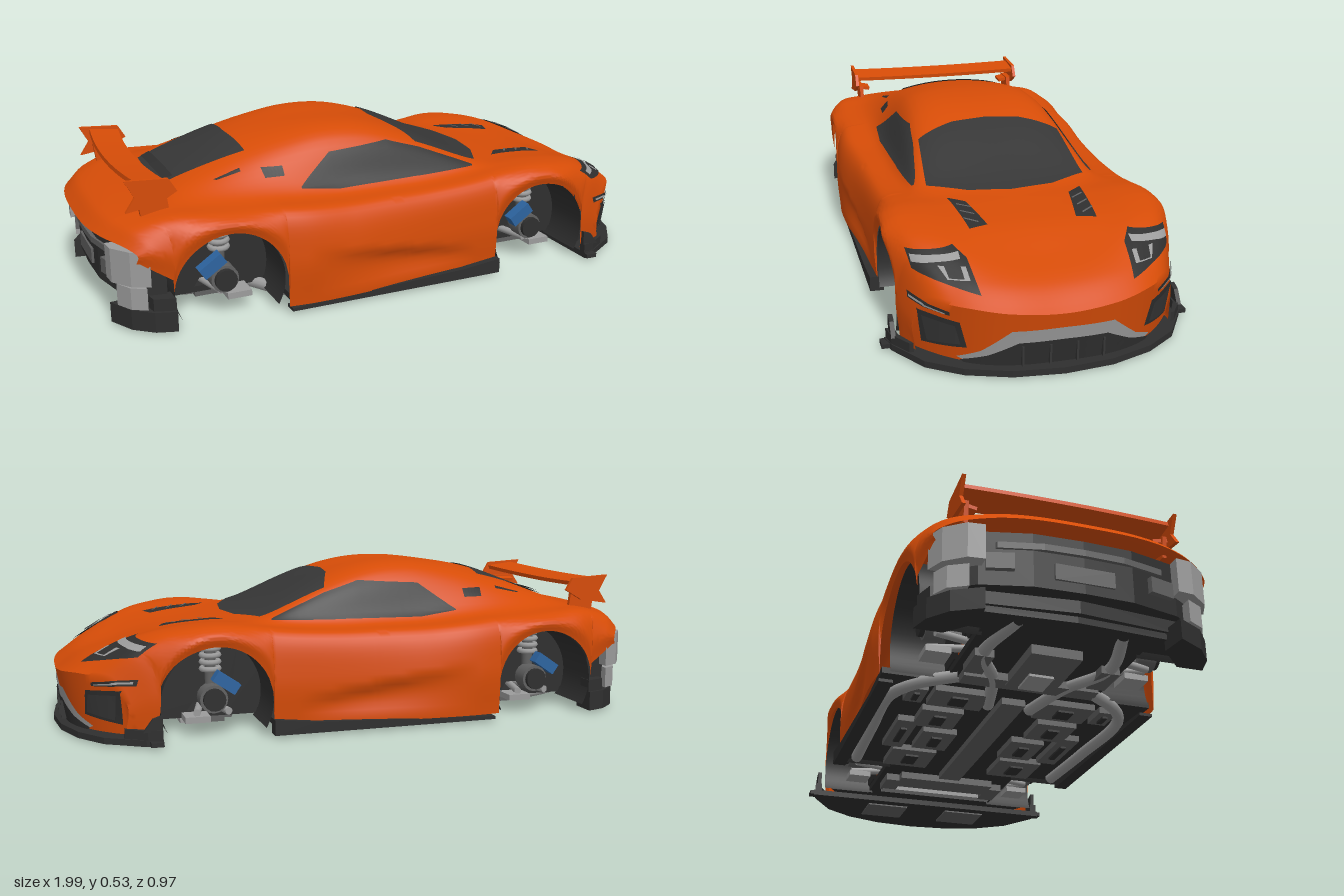
import * as THREE from 'three';
import { toCreasedNormals } from 'three/addons/utils/BufferGeometryUtils.js';

const mat = (name, color) => new THREE.MeshStandardMaterial({ name, color, side: THREE.DoubleSide });
const M = {
  paint: mat('orange paint', 0xd64c07), glass: mat('dark glass', 0x363636), trim: mat('black trim', 0x2f2f2f),
  grey: mat('light grey metal', 0x9c9c9c), mid: mat('mid grey metal', 0x606060), blue: mat('blue damper', 0x2d64a0),
};

// Body stations: x, half width, then shoulder z/y, deck edge z/y, roof edge z/y, centre y
const ROWS = [
  [-1, .42, .38, .28, .28, .288, .18, .29, .29],
  [-.95, .43, .39, .315, .29, .328, .19, .333, .335],
  [-.8, .45, .41, .35, .32, .362, .21, .365, .367],
  [-.65, .455, .42, .35, .33, .365, .21, .41, .425],
  [-.5, .46, .43, .338, .335, .362, .21, .45, .483],
  [-.35, .474, .44, .325, .335, .352, .215, .482, .512],
  [-.2, .47, .43, .315, .332, .342, .22, .502, .525],
  [-.05, .456, .42, .313, .33, .34, .23, .492, .515],
  [.1, .446, .415, .313, .33, .338, .245, .45, .475],
  [.3, .44, .41, .325, .325, .343, .27, .37, .39],
  [.4, .44, .405, .342, .33, .352, .24, .352, .357],
  [.5, .445, .41, .353, .33, .36, .22, .35, .345],
  [.65, .45, .41, .342, .33, .35, .2, .335, .325],
  [.78, .44, .4, .32, .32, .325, .18, .3, .285],
  [.9, .425, .385, .27, .29, .265, .16, .255, .245],
  [.98, .4, .36, .2, .28, .21, .15, .2, .19],
];
const ARCHES = [-.61, .515], R = .178, HUB = .12;
const clamp = THREE.MathUtils.clamp, lerp = THREE.MathUtils.lerp;

// Smooth interpolation between stations
function station(s) {
  let i = 0;
  while (i < ROWS.length - 2 && s > ROWS[i + 1][0]) i++;
  const a = ROWS[i], b = ROWS[i + 1], p = ROWS[i - 1] || a, n = ROWS[i + 2] || b;
  const h = b[0] - a[0], t = clamp((s - a[0]) / h, 0, 1);
  return a.map((v, c) => {
    const m0 = (b[c] - p[c]) / (b[0] - p[0]) * h, m1 = (n[c] - v) / (n[0] - a[0]) * h;
    return (2 * t ** 3 - 3 * t * t + 1) * v + (t ** 3 - 2 * t * t + t) * m0
      + (3 * t * t - 2 * t ** 3) * b[c] + (t ** 3 - t * t) * m1;
  });
}
// Nose and tail sweep back towards the corners
const sweep = (s, z) => (s > 0 ? -3 * clamp((s - .55) / .43, 0, 1) : 1.5 * clamp((-s - .7) / .3, 0, 1)) * Math.abs(z) ** 3;

// Lower edge of the shell, rising over the wheels and behind the rear ones
function lowerEdge(x) {
  for (const c of ARCHES) if (Math.abs(x - c) < R) return HUB + Math.sqrt(R * R - (x - c) ** 2);
  return x < ARCHES[0] ? lerp(.17, .235, clamp((-.78 - x) / .1, 0, 1)) : .03;
}
function section(s) {
  const [, w, zs, ys, zc, yc, zr, yr, yt] = station(s);
  const yb = Math.min(lowerEdge(s + sweep(s, w)), ys - .03);
  const half = [[w * .985, yb], [w, lerp(yb, ys, .55)], [zs, ys], [zc, yc], [zr, yr]];
  const pts = [...half, [0, yt], ...half.slice().reverse().map(([z, y]) => [-z, y])];
  const curve = new THREE.CatmullRomCurve3(pts.map(([z, y]) => new THREE.Vector3(0, y, z)));
  return curve.getPoints(80).map(p => {
    // scooped flank behind the door, deepest under its upper edge
    const u = clamp((s + .36) / .62, 0, 1), v = clamp((p.y - .05) / (.16 - .1 * u), 0, 1);
    const dent = Math.abs(p.z) > .38 ? .04 * Math.sin(Math.PI * u) * v * (1 - v ** 3) : 0;
    return new THREE.Vector3(s + sweep(s, p.z), p.y, p.z - Math.sign(p.z) * dent);
  });
}
// Surface through a grid of points
function skin(rows) {
  const n = rows[0].length, index = [];
  for (let i = 0; i < rows.length - 1; i++) for (let j = 0; j < n - 1; j++) {
    const a = i * n + j, b = a + n;
    index.push(a, b, a + 1, b, b + 1, a + 1);
  }
  const g = new THREE.BufferGeometry().setFromPoints(rows.flat());
  g.setIndex(index);
  g.computeVertexNormals();
  return g;
}
const prism = (pts, depth) => new THREE.ExtrudeGeometry(new THREE.Shape(pts.map(p => new THREE.Vector2(...p))), { depth, bevelEnabled: false });

export function createModel() {
  const car = new THREE.Group();
  car.name = 'sportsCar';
  const add = (name, geo, m, x = 0, y = 0, z = 0, rx = 0, ry = 0, rz = 0) => {
    const mesh = new THREE.Mesh(geo, m);
    mesh.name = name;
    mesh.position.set(x, y, z);
    mesh.rotation.set(rx, ry, rz);
    car.add(mesh);
    return mesh;
  };
  const box = (name, m, w, h, d, ...at) => add(name, new THREE.BoxGeometry(w, h, d), m, ...at);
  const rod = (name, m, r, len, ...at) => add(name, new THREE.CylinderGeometry(r, r, len, 16), m, ...at);
  const pipe = (name, m, r, pts) => add(name, new THREE.TubeGeometry(new THREE.CatmullRomCurve3(pts.map(p => new THREE.Vector3(...p))), 20, r, 10), m);
  // Plan outline (x, z) raised between two heights, and its version mirrored about the centre line
  const block = (name, m, pts, y0, y1) => add(name, prism(pts.map(([x, z]) => [x, -z]), y1 - y0).rotateX(-Math.PI / 2), m, 0, y0);
  const slab = (name, m, pts, y0, y1) => block(name, m, [...pts, ...pts.slice().reverse().map(([x, z]) => [x, -z])], y0, y1);
  // Side outline (x, y) given a thickness in z
  const plate = (name, m, pts, depth, z) => add(name, prism(pts, depth), m, 0, 0, z - depth / 2);

  // Body shell with crisp arch edges and nose fascia
  const stations = [];
  for (let i = 0; i <= 170; i++) stations.push(-1 + 1.98 * i / 170);
  for (const c of ARCHES) for (const e of [c - R, c + R]) {
    let s = e;
    for (let k = 0; k < 40; k++) s = e - sweep(s, station(s)[1]);
    stations.push(s - .001, s + .001);
  }
  const rows = stations.sort((a, b) => a - b).map(section);
  const rim = rows[rows.length - 1];
  for (let k = 1; k <= 6; k++) rows.push(rim.map(p => new THREE.Vector3(p.x - .03 * k / 6, lerp(p.y, .03, k / 6), p.z)));
  const body = add('bodyShell', toCreasedNormals(skin(rows), .8), M.paint);
  body.updateMatrixWorld();

  // Thin panels laid on the shell between two edge lines
  const ray = new THREE.Raycaster();
  const along = (line, t) => {
    const f = t * (line.length - 1), i = Math.min(Math.floor(f), line.length - 2);
    return line[i].map((v, k) => lerp(v, line[i + 1][k], f - i));
  };
  const VIEW = {
    side: (u, v) => [[u, v, 2], [0, 0, -1]],
    top: (u, v) => [[u, 2, v], [0, -1, 0]],
    front: (u, v) => [[2, v, u], [-1, 0, 0]],
  };
  function panel(name, m, view, a, b, mirror = true, lift = .004, nu = 24, nv = 12) {
    let last = new THREE.Vector3();
    const grid = [];
    for (let i = 0; i <= nv; i++) {
      const row = [];
      for (let j = 0; j <= nu; j++) {
        const p = along(a, j / nu), q = along(b, j / nu);
        const [o, d] = VIEW[view](lerp(p[0], q[0], i / nv), lerp(p[1], q[1], i / nv));
        ray.set(new THREE.Vector3(...o), new THREE.Vector3(...d));
        const hit = ray.intersectObject(body)[0];
        if (hit) {
          const n = hit.face.normal.clone();
          if (n.dot(ray.ray.direction) > 0) n.negate();
          last = hit.point.clone().addScaledVector(n, lift);
        }
        row.push(last.clone());
      }
      grid.push(row);
    }
    add(name, skin(grid), m);
    if (mirror) add(name, skin(grid.map(r => r.map(p => new THREE.Vector3(p.x, p.y, -p.z)))), m);
  }
  // Glass
  panel('windscreen', M.glass, 'top', [[.115, .245], [.07, .12], [.055, 0], [.07, -.12], [.115, -.245]],
    [[.34, .265], [.4, .14], [.42, 0], [.4, -.14], [.34, -.265]], false);
  panel('sideWindow', M.glass, 'side', [[-.33, .366], [-.21, .455], [0, .468], [.12, .432], [.31, .356]],
    [[-.33, .362], [-.2, .346], [0, .348], [.12, .349], [.31, .352]]);
  panel('rearWindow', M.glass, 'top', [[-.47, .18], [-.48, 0], [-.47, -.18]], [[-.74, .155], [-.75, 0], [-.74, -.155]], false);
  panel('rearLouvre', M.trim, 'top', [[-.7, .15], [-.7, -.15]], [[-.73, .145], [-.73, -.145]], false, .009, 16, 2);
  panel('quarterVent', M.trim, 'side', [[-.445, .43], [-.375, .43]], [[-.44, .402], [-.375, .402]]);
  panel('quarterScoop', M.trim, 'top', [[-.6, .25], [-.51, .24]], [[-.59, .256], [-.51, .252]]);
  // Bonnet vents
  panel('bonnetVent', M.trim, 'top', [[.44, .22], [.66, .2]], [[.48, .17], [.64, .14]]);
  for (const x of [.5, .55, .6])
    panel('ventSlat', M.mid, 'top', [[x, .205], [x + .008, .205]], [[x + .025, .165], [x + .033, .165]], true, .008, 3, 6);
  // Headlights and bumper openings
  panel('headlight', M.trim, 'front', [[.4, .31], [.27, .322], [.24, .3]], [[.39, .27], [.3, .25], [.225, .235]]);
  panel('headlightStrip', M.grey, 'front', [[.39, .3], [.26, .31]], [[.388, .285], [.26, .298]], true, .008);
  panel('headlightSurround', M.grey, 'front', [[.325, .285], [.25, .285]], [[.305, .26], [.245, .26]], true, .008);
  panel('headlightLens', M.trim, 'front', [[.31, .292], [.265, .292]], [[.3, .262], [.26, .262]], true, .0095);
  panel('cheekSlit', M.trim, 'front', [[.405, .205], [.31, .188]], [[.405, .185], [.31, .176]]);
  panel('cheekSlitMesh', M.grey, 'front', [[.4, .198], [.32, .184]], [[.4, .191], [.32, .18]], true, .008);
  panel('cheekIntake', M.trim, 'front', [[.388, .17], [.285, .16]], [[.375, .062], [.265, .08]]);
  panel('cheekMesh', M.glass, 'front', [[.375, .155], [.295, .148]], [[.36, .075], [.28, .09]], true, .008);
  panel('grilleFrame', M.grey, 'front', [[.29, .045], [.23, .075], [.15, .145], [0, .147], [-.15, .145], [-.23, .075], [-.29, .045]],
    [[.27, .036], [.19, .036], [.1, .036], [0, .036], [-.1, .036], [-.19, .036], [-.27, .036]], false, .005, 48);
  panel('grille', M.trim, 'front', [[.28, .04], [.21, .065], [.13, .108], [0, .11], [-.13, .108], [-.21, .065], [-.28, .04]],
    [[.27, .032], [.2, .032], [.12, .032], [0, .032], [-.12, .032], [-.2, .032], [-.27, .032]], false, .0095, 48);
  for (const z of [-.12, -.04, .04, .12]) box('grilleBar', M.glass, .02, .06, .006, .965 - 2 * Math.abs(z) ** 3, .065, z);

  // Splitter, floor and tail
  slab('frontSplitter', M.trim, [[.99, 0], [.975, .15], [.93, .28], [.86, .38], [.74, .455], [.69, .47], [.69, .3], [.69, 0]], .006, .026);
  slab('floor', M.trim, [[.9, 0], [.85, .3], [.7, .4], [.7, .25], [.34, .25], [.34, .43], [-.42, .45], [-.42, .25],
    [-.79, .25], [-.79, .38], [-.88, .34], [-.9, 0]], .04, .06);
  slab('tailPanel', M.trim, [[-.8, 0], [-.8, .39], [-.87, .38], [-.92, .3], [-.955, .15], [-.96, 0]], .1, .27);
  slab('diffuser', M.trim, [[-.8, 0], [-.8, .33], [-.89, .31], [-.92, 0]], .06, .12);
  slab('tailLightBar', M.mid, [[-.93, 0], [-.9, .26], [-.94, .25], [-.968, .12], [-.972, 0]], .215, .235);
  box('tailMesh', M.mid, .02, .05, .18, -.955, .155, 0);

  // Wing blade
  const blade = new THREE.BoxGeometry(.1, .014, .66, 1, 1, 20), bp = blade.attributes.position;
  for (let i = 0; i < bp.count; i++) {
    const c = 1 - (bp.getZ(i) / .33) ** 2;
    bp.setXYZ(i, bp.getX(i) + .01 - .02 * c, bp.getY(i) - .012 * c, bp.getZ(i));
  }
  blade.computeVertexNormals();
  add('wingBlade', toCreasedNormals(blade, .6), M.paint, -.825, .45, 0, 0, 0, -.12);

  for (const s of [1, -1]) {
    const flip = pts => pts.map(([x, z]) => [x, s * z]);
    // Wing ends and supports
    plate('wingEndPlate', M.paint, [[-.9, .47], [-.765, .462], [-.74, .42], [-.8, .385], [-.9, .37], [-.87, .415]], .012, s * .335);
    plate('wingSupport', M.paint, [[-.86, .41], [-.77, .41], [-.76, .34], [-.85, .34]], .014, s * .315);
    box('wingBrace', M.paint, .06, .012, .06, -.82, .4, s * .31, s * -.2);
    // Bumper corners and sills
    block('splitterFin', M.trim, flip([[.69, .465], [.735, .455], [.8, .412], [.8, .4], [.735, .435], [.69, .44]]), .02, .055);
    plate('splitterFinTop', M.trim, [[.69, .05], [.75, .05], [.72, .09], [.69, .1]], .014, s * .45);
    box('splitterFoot', M.trim, .04, .014, .03, .71, .016, s * .468);
    plate('sill', M.trim, [[.34, .01], [.34, .06], [.2, .045], [-.2, .03], [-.42, .02], [-.42, .01]], .045, s * .436);
    block('rearCorner', M.trim, flip([[-.785, .445], [-.85, .425], [-.91, .375], [-.955, .29], [-.87, .28], [-.785, .36]]), .01, .075);
    block('rearCornerStep', M.trim, flip([[-.785, .435], [-.85, .415], [-.86, .36], [-.785, .38]]), .07, .115);
    // Tail brackets
    block('tailBracket', M.grey, flip([[-.855, .425], [-.91, .4], [-.955, .34], [-.96, .29], [-.9, .29], [-.855, .38]]), .16, .27);
    block('tailBracketLower', M.grey, flip([[-.865, .41], [-.91, .385], [-.94, .33], [-.87, .33]]), .08, .15);
    box('tailBracketInner', M.mid, .04, .05, .08, -.93, .17, s * .24, 0, s * .25);
    // Wheel wells and suspension
    for (const c of ARCHES) {
      add('wheelWell', new THREE.CylinderGeometry(R, R, .19, 36, 1, true, Math.PI / 3, Math.PI * 4 / 3), M.trim, c, HUB, s * .335, Math.PI / 2);
      plate('wellWall', M.trim, [[c - R, .06], [c - R, .2], [c - .1, .27], [c, .298], [c + .1, .27], [c + R, .2], [c + R, .06],
        [c + .07, .06], [c + .05, .09], [c - .05, .09], [c - .07, .06]], .01, s * .25);
      rod('hub', M.mid, .045, .06, c, HUB, s * .34, Math.PI / 2);
      rod('hubCap', M.trim, .036, .02, c, HUB, s * .375, Math.PI / 2);
      box('brakeCaliper', M.blue, .085, .038, .04, c - .04, .172, s * .36, 0, 0, .6);
      rod('damper', M.mid, .018, .14, c, .22, s * .31);
      for (let i = 0; i < 4; i++) add('springCoil', new THREE.TorusGeometry(.028, .009, 6, 16), M.grey, c, .21 + .022 * i, s * .31, Math.PI / 2);
      for (const dx of [-.06, .06]) rod('controlArm', M.grey, .012, .18, c + dx / 2, .075, s * .26, Math.PI / 2, 0, dx * 4);
      box('lowerLink', M.grey, .08, .02, .08, c + .05, .055, s * .32);
      rod('driveShaft', M.mid, .014, .3, c, .1, s * .2, Math.PI / 2);
      box('linkMount', M.mid, .12, .04, .06, c, .035, s * .2);
    }
    // Underbody pieces
    pipe('sidePipe', M.grey, .02, [[.3, .032, s * .38], [0, .03, s * .39], [-.3, .03, s * .39], [-.4, .032, s * .33], [-.48, .035, s * .22]]);
    pipe('exhaustPipe', M.grey, .02, [[-.3, .032, s * .07], [-.5, .032, s * .12], [-.66, .034, s * .2], [-.85, .05, s * .16]]);
    box('splitterPan', M.mid, .14, .008, .16, .8, .005, s * .16);
    for (const [x, z, w, d] of [[.22, .2, .16, .16], [.03, .16, .16, .12], [0, .29, .24, .07], [-.16, .2, .14, .14], [-.33, .18, .12, .18], [-.33, .32, .1, .06]]) {
      box('floorPan', M.mid, w, .022, d, x, .03, s * z);
      box('floorPanRib', M.trim, w * .5, .01, d * .3, x, .017, s * z);
    }
  }
  box('centreTunnel', M.mid, .75, .025, .08, .02, .03, 0);
  box('gearbox', M.mid, .24, .04, .16, -.62, .03, 0);
  box('gearboxCover', M.grey, .1, .02, .08, -.56, .012, 0);
  box('steeringRack', M.grey, .04, .03, .44, .58, .03, 0);
  box('frontSubframe', M.mid, .1, .03, .36, .47, .03, 0);
  box('rearSubframe', M.mid, .06, .03, .44, -.5, .03, 0);
  return car;
}
